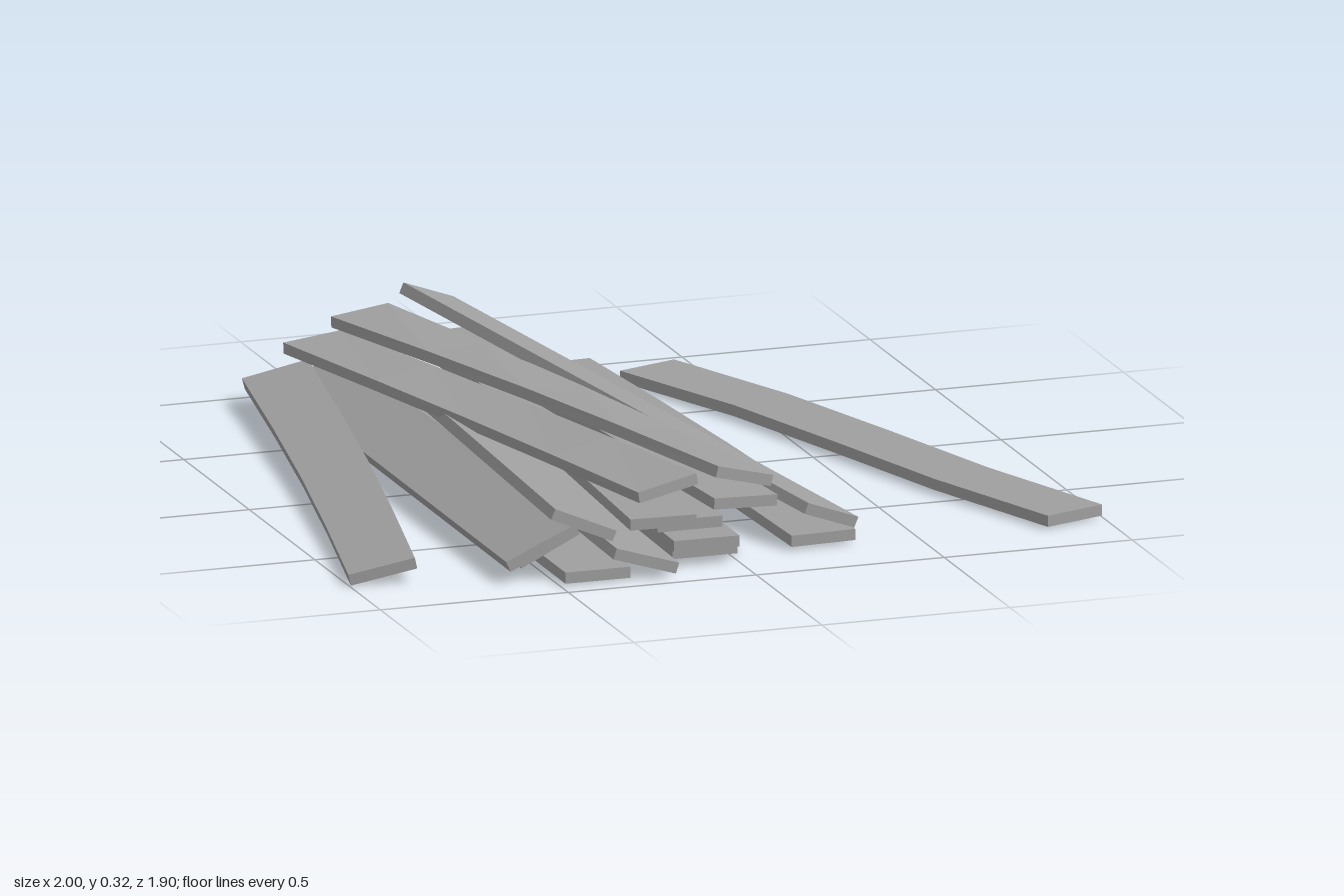
import * as THREE from 'three';

const WIDTH = 0.173, THICK = 0.029;
const material = new THREE.MeshStandardMaterial({ color: 0x9f9f9f, flatShading: true });

// One slightly warped board running from its back end to its front end.
// Ends are [x, y, z, roll]; a positive roll lifts the +x edge.
// bow bends it sideways, arch upwards, sway into a slight S.
function plank(name, back, front, { bow = 0, arch = 0, sway = 0 } = {}) {
  const geo = new THREE.BoxGeometry(WIDTH, THICK, 1, 1, 1, 4);
  const a = new THREE.Vector3(...back.slice(0, 3)), b = new THREE.Vector3(...front.slice(0, 3));
  const dir = b.clone().sub(a).normalize();
  const level = new THREE.Vector3(dir.z, 0, -dir.x).normalize();
  const pos = geo.attributes.position, p = new THREE.Vector3();
  for (let i = 0; i < pos.count; i++) {
    const t = pos.getZ(i) + 0.5, bulge = Math.sin(Math.PI * t);
    const side = level.clone().applyAxisAngle(dir, THREE.MathUtils.lerp(back[3], front[3], t));
    const up = dir.clone().cross(side);
    p.lerpVectors(a, b, t).addScaledVector(side, pos.getX(i)).addScaledVector(up, pos.getY(i));
    p.x += bow * bulge + sway * Math.sin(2 * Math.PI * t);
    p.y += arch * bulge;
    pos.setXYZ(i, p.x, p.y, p.z);
  }
  geo.computeVertexNormals();
  const mesh = new THREE.Mesh(geo, material);
  mesh.name = name;
  return mesh;
}

export function createModel() {
  const group = new THREE.Group();
  group.name = 'plankPile';
  group.add(
    // Loose boards lying to either side
    plank('leftLoosePlank', [-0.602, 0.075, -0.935, 0.25], [-0.915, 0.035, 0.775, 0.22], { bow: 0.014 }),
    plank('innerRightPlank', [0.147, 0.025, -0.935, 0], [0.247, 0.025, 0.805, 0], { bow: 0.015 }),
    plank('outerRightPlank', [0.351, 0.022, -0.84, 0], [0.916, 0.022, 0.805, 0], { arch: 0.005, sway: 0.018 }),

    // Boards leaning on each other at the left of the pile
    plank('groundPlank', [-0.4, 0.022, -0.8, 0], [-0.4, 0.022, 0.94, 0]),
    plank('leaningPlankA', [-0.53, 0.08, -0.87, 0.42], [-0.535, 0.08, 0.87, 0.42]),
    plank('leaningPlankB', [-0.5, 0.065, -0.95, 0.45], [-0.48, 0.065, 0.79, 0.45]),
    plank('leaningPlankC', [-0.32, 0.105, -0.8, -0.4], [-0.437, 0.155, 0.938, -0.4]),
    plank('leaningPlankD', [-0.25, 0.055, -0.79, -0.3], [-0.275, 0.05, 0.95, -0.3]),

    // Flat stack in the middle
    plank('stackPlankA', [-0.065, 0.022, -0.93, 0], [-0.07, 0.022, 0.81, 0]),
    plank('stackPlankB', [-0.07, 0.06, -0.86, 0], [-0.09, 0.06, 0.88, 0]),
    plank('stackPlankC', [-0.113, 0.095, -0.935, 0], [-0.11, 0.095, 0.81, 0]),
    plank('stackPlankD', [-0.12, 0.126, -0.86, 0], [-0.205, 0.126, 0.88, 0]),
    plank('stackPlankE', [-0.125, 0.16, -0.86, 0], [0.018, 0.156, 0.868, -0.05]),

    // Slanted boards on top
    plank('topPlankA', [-0.522, 0.165, -0.885, 0.05], [-0.17, 0.195, 0.815, 0.15], { bow: 0.01 }),
    plank('topPlankB', [-0.4, 0.225, -0.878, 0.05], [0.037, 0.205, 0.805, -0.28], { arch: 0.01 }),
    plank('topPlankC', [-0.238, 0.275, -0.835, -0.38], [0.268, 0.082, 0.805, -0.38]),
  );
  return group;
}
